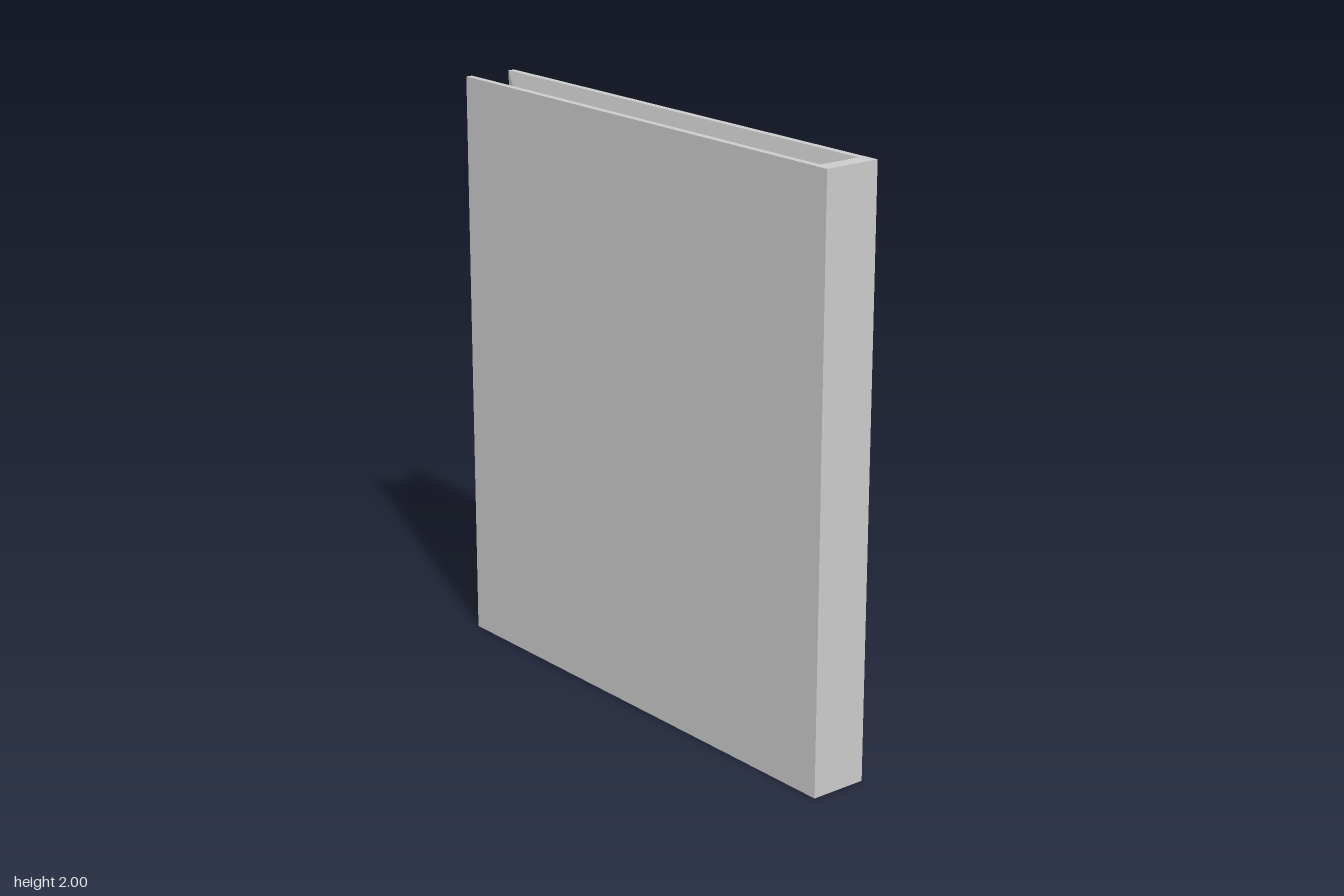
import * as THREE from 'three';

const WIDTH = 1.8, HEIGHT = 2, HALF_DEPTH = 0.1;
const LEFT = -WIDTH / 2, RIGHT = WIDTH / 2;
const SPINE_X = 0.845;     // inner face of the spine
const RIM_Z = 0.076;       // cover inner edge at the rim
const CORE_Z = 0.065;      // half thickness of the page block
const INSET_X = 0.04, INSET_Y = 0.05;

export function createModel() {
  const group = new THREE.Group();
  const grey = new THREE.MeshStandardMaterial({ color: 0xcccccc });
  grey.name = 'grey';

  const add = (name, geometry) => {
    const mesh = new THREE.Mesh(geometry, grey);
    mesh.name = name;
    group.add(mesh);
    return mesh;
  };

  const polygon = (points) => new THREE.Shape(points.map(([x, y]) => new THREE.Vector2(x, y)));
  const extrude = (points, depth) =>
    new THREE.ExtrudeGeometry(polygon(points), { depth, bevelEnabled: false });

  // U-shaped jacket: two covers joined by the spine, extruded upwards
  const jacket = extrude([
    [LEFT, -HALF_DEPTH], [RIGHT, -HALF_DEPTH], [RIGHT, HALF_DEPTH], [LEFT, HALF_DEPTH],
    [LEFT, RIM_Z], [SPINE_X, RIM_Z], [SPINE_X, -RIM_Z], [LEFT, -RIM_Z],
  ], HEIGHT);
  jacket.rotateX(-Math.PI / 2);
  add('coversAndSpine', jacket);

  // Bevelled linings: slope from the cover rim in to the page block on the open sides
  for (const side of [1, -1]) {
    const length = SPINE_X - LEFT, thickness = RIM_Z - CORE_Z;
    const lining = new THREE.BoxGeometry(length, HEIGHT, thickness);
    lining.translate(LEFT + length / 2, HEIGHT / 2, side * (CORE_Z + thickness / 2));
    const p = lining.attributes.position;
    for (let i = 0; i < p.count; i++) {
      if (Math.abs(p.getZ(i)) > CORE_Z + thickness / 2) continue;
      if (p.getX(i) < 0) p.setX(i, LEFT + INSET_X);
      p.setY(i, p.getY(i) > 1 ? HEIGHT - INSET_Y : INSET_Y);
    }
    lining.computeVertexNormals();
    add(side > 0 ? 'frontLining' : 'backLining', lining);
  }

  // Page block, recessed at the top, bottom and fore edge
  const coreLength = SPINE_X - LEFT - INSET_X;
  const pages = new THREE.BoxGeometry(coreLength, HEIGHT - 2 * INSET_Y, 2 * CORE_Z);
  pages.translate(LEFT + INSET_X + coreLength / 2, HEIGHT / 2, 0);
  add('pageBlock', pages);

  // Sloped fillets where the pages meet the spine
  for (const top of [true, false]) {
    const y = (v) => (top ? HEIGHT - v : v);
    const wedge = extrude([
      [SPINE_X - 0.055, y(INSET_Y)], [SPINE_X, y(INSET_Y)], [SPINE_X, y(0)],
    ], 2 * CORE_Z);
    wedge.translate(0, 0, -CORE_Z);
    add(top ? 'topSpineFillet' : 'bottomSpineFillet', wedge);
  }

  return group;
}
